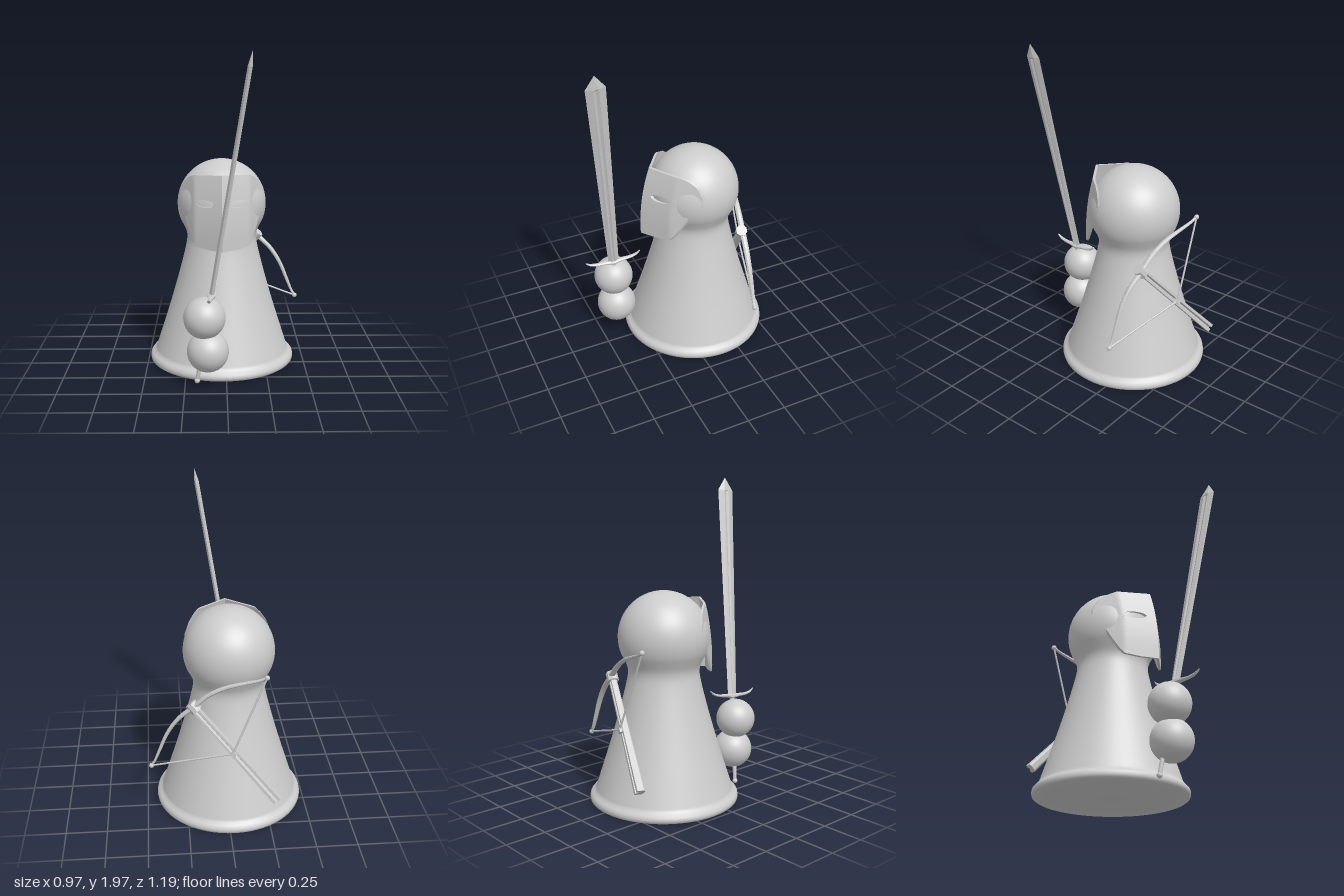
import * as THREE from 'three';
import { toCreasedNormals } from 'three/addons/utils/BufferGeometryUtils.js';

const grey = new THREE.MeshStandardMaterial({ color: 0xcccccc });
grey.name = 'light grey';

function add(parent, name, geometry, x = 0, y = 0, z = 0) {
  const mesh = new THREE.Mesh(geometry, grey);
  mesh.name = name;
  mesh.position.set(x, y, z);
  parent.add(mesh);
  return mesh;
}

// Skin between closed loops of points; either capped at the ends or wrapped into a ring
function skin(loops, wrap = false, crease = 0.6) {
  const n = loops[0].length, m = loops.length, idx = [];
  const pos = loops.flat();
  for (let r = 0; r < (wrap ? m : m - 1); r++) {
    for (let i = 0; i < n; i++) {
      const a = r * n + i, b = r * n + (i + 1) % n;
      const c = ((r + 1) % m) * n + i, d = ((r + 1) % m) * n + (i + 1) % n;
      idx.push(a, c, d, a, d, b);
    }
  }
  if (!wrap) {
    const e = (m - 1) * n;
    for (let i = 1; i < n - 1; i++) idx.push(0, i, i + 1, e, e + i + 1, e + i);
  }
  // Turn the faces outward if the enclosed volume is negative
  const v = pos.map(p => new THREE.Vector3(...p));
  let volume = 0;
  for (let i = 0; i < idx.length; i += 3) {
    volume += v[idx[i]].dot(v[idx[i + 1]].clone().cross(v[idx[i + 2]]));
  }
  if (volume < 0) idx.reverse();
  const g = new THREE.BufferGeometry();
  g.setAttribute('position', new THREE.Float32BufferAttribute(pos.flat(), 3));
  g.setIndex(idx);
  return toCreasedNormals(g, crease);
}

// Tapered bar along a smoothed path; each station is [along, rise, halfRise, halfSide]
function bar(stations, place, sides = 8) {
  const path = new THREE.CatmullRomCurve3(stations.map(s => new THREE.Vector3(s[0], s[1], 0)));
  const size = new THREE.CatmullRomCurve3(stations.map(s => new THREE.Vector3(s[2], s[3], 0)));
  const loops = [];
  for (let k = 0; k <= 32; k++) {
    const p = path.getPoint(k / 32), h = size.getPoint(k / 32);
    const t = path.getTangent(k / 32);
    loops.push(Array.from({ length: sides }, (_, i) => {
      const a = (i + 0.5) / sides * Math.PI * 2, c = Math.cos(a) * h.x;
      return place(p.x - t.y * c, p.y + t.x * c, Math.sin(a) * h.y);
    }));
  }
  return skin(loops);
}

function mirrored(half) {
  const other = half.slice(1).reverse().map(s => [-s[0], ...s.slice(1)]);
  return [...other, ...half];
}

function orient(group, xAxis, yAxis, zAxis, origin) {
  const m = new THREE.Matrix4().makeBasis(xAxis, yAxis, zAxis);
  group.quaternion.setFromRotationMatrix(m);
  group.position.set(...origin);
}

// Pawn body with a rolled foot and a ball head
function makeBody() {
  const flank = new THREE.SplineCurve([
    [0.43, 0.072], [0.388, 0.2], [0.325, 0.4], [0.268, 0.6], [0.226, 0.77], [0.221, 0.84], [0.238, 0.89],
  ].map(p => new THREE.Vector2(...p))).getPoints(28);
  const foot = [[0, 0.01], [0.45, 0.01], [0.46, 0.017], [0.463, 0.032], [0.46, 0.048], [0.448, 0.062]];
  const profile = foot.map(p => new THREE.Vector2(...p)).concat(flank);
  const start = Math.asin((0.925 - 1.035) / 0.28);
  for (let i = 0; i <= 24; i++) {
    const a = start + (Math.PI / 2 - start) * i / 24;
    profile.push(new THREE.Vector2(i === 24 ? 0 : 0.28 * Math.cos(a), 1.035 + 0.28 * Math.sin(a)));
  }
  return toCreasedNormals(new THREE.LatheGeometry(profile, 64), 0.8);
}

// One half of the mask: rings spreading from the eye hole to the outline, bent by a depth rule
function makeMaskHalf(side) {
  const corners = [
    [0, 0.795], [0.09, 0.797], [0.168, 0.808], [0.186, 0.84], [0.207, 0.9], [0.232, 0.98], [0.245, 1.0],
    [0.262, 1.02], [0.27, 1.06], [0.263, 1.12], [0.236, 1.185], [0.205, 1.22], [0.175, 1.238], [0.09, 1.243], [0, 1.25],
  ];
  const outline = [];
  corners.forEach((p, i) => {
    const q = corners[(i + 1) % corners.length];
    const steps = Math.max(2, Math.ceil(Math.hypot(q[0] - p[0], q[1] - p[1]) / 0.03));
    for (let k = 0; k < steps; k++) {
      outline.push([p[0] + (q[0] - p[0]) * k / steps, p[1] + (q[1] - p[1]) * k / steps]);
    }
  });
  const depth = (x, y) => 0.238 - 0.063 * (Math.max(0, y - 0.87) / 0.38) ** 2
    - 0.7 * x - 0.9 * Math.max(0, x - 0.17);
  const ex = 0.104, ey = 1.075;
  const ring = (t, back) => outline.map(([x, y]) => {
    const a = Math.atan2((y - ey) / 0.4, x - ex);
    const px = THREE.MathUtils.lerp(ex + 0.058 * Math.cos(a), x, t);
    const py = THREE.MathUtils.lerp(ey + 0.022 * Math.sin(a), y, t);
    return [side * px, py, depth(px, py) - back];
  });
  const front = [], rear = [];
  for (let k = 0; k <= 10; k++) {
    front.push(ring(k / 10, 0));
    rear.unshift(ring(k / 10, 0.018));
  }
  return skin([...front, ...rear], true, 0.5);
}

function makeSword() {
  const sword = new THREE.Group();
  sword.name = 'sword';
  const yAxis = new THREE.Vector3(0.227, 1.41, 0.138).normalize();
  const xAxis = yAxis.clone().cross(new THREE.Vector3(-0.043, -0.025, 0.35)).normalize();
  orient(sword, xAxis, yAxis, xAxis.clone().cross(yAxis), [-0.09, 0.575, 0.405]);
  // Blade with a central fuller: [height, half width, half thickness, fuller depth]
  const blade = [
    [0, 0.034, 0.014, 0.45], [1.34, 0.058, 0.013, 0.45], [1.352, 0.058, 0.013, 1], [1.433, 0.001, 0.001, 1],
  ].map(([y, w, t, f]) => [
    [0, y, w], [t, y, 0.3 * w], [t * f, y, 0], [t, y, -0.3 * w],
    [0, y, -w], [-t, y, -0.3 * w], [-t * f, y, 0], [-t, y, 0.3 * w],
  ]);
  add(sword, 'blade', skin(blade, false, 0.2));
  const guard = mirrored([
    [0, 0.004, 0.016, 0.024], [0.05, 0.008, 0.012, 0.016], [0.11, 0.012, 0.009, 0.012],
    [0.15, 0.024, 0.007, 0.01], [0.178, 0.046, 0.002, 0.004],
  ]);
  add(sword, 'crossguard', bar(guard, (u, v, w) => [w, v, u]));
  add(sword, 'grip', new THREE.CylinderGeometry(0.015, 0.012, 0.54, 12), 0, -0.27, 0);
  add(sword, 'pommel', new THREE.SphereGeometry(0.017, 12, 8), 0, -0.553, 0);
  return sword;
}

function makeCrossbow() {
  const bow = new THREE.Group();
  bow.name = 'crossbow';
  const yAxis = new THREE.Vector3(0.49, 0.56, 0.185).normalize();
  const zAxis = new THREE.Vector3(-0.695, 0.645, -0.135).cross(yAxis).normalize();
  orient(bow, yAxis.clone().cross(zAxis), yAxis, zAxis, [0.2, 0.77, -0.355]);
  // Stock with a bolt groove along its top
  const stock = [[-0.765, 0.027], [-0.4, 0.023], [0.02, 0.02]].map(([y, h]) => [
    [0, y, 0.008], [0.008, y, h], [h, y, h], [h, y, -0.6 * h], [0.6 * h, y, -h],
    [-0.6 * h, y, -h], [-h, y, -0.6 * h], [-h, y, h], [-0.008, y, h],
  ]);
  add(bow, 'stock', skin(stock, false, 0.3));
  const block = new THREE.CylinderGeometry(0.036, 0.036, 0.06, 8);
  block.rotateY(Math.PI / 8);
  add(bow, 'headBlock', toCreasedNormals(block, 0.3), 0, 0.005, 0);
  const limbs = mirrored([
    [0, 0.006, 0.015, 0.02], [0.12, 0.008, 0.013, 0.019], [0.24, -0.02, 0.012, 0.017],
    [0.36, -0.075, 0.01, 0.014], [0.44, -0.112, 0.008, 0.011], [0.485, -0.122, 0.008, 0.01],
  ]);
  add(bow, 'limbs', bar(limbs, (u, v, w) => [u, v, w + 0.008]));
  const nock = new THREE.Vector3(0, -0.36, 0.033);
  for (const s of [-1, 1]) {
    const tip = new THREE.Vector3(s * 0.475, -0.122, 0.009);
    add(bow, 'limbTip', new THREE.SphereGeometry(0.016, 10, 8), tip.x, tip.y, tip.z);
    add(bow, 'string', new THREE.TubeGeometry(new THREE.LineCurve3(tip, nock), 1, 0.006, 8));
  }
  add(bow, 'stringCatch', new THREE.BoxGeometry(0.03, 0.03, 0.03), 0, -0.365, 0.026);
  return bow;
}

export function createModel() {
  const model = new THREE.Group();
  model.name = 'pawnWarrior';
  add(model, 'body', makeBody(), -0.025, 0, -0.13);

  const mask = new THREE.Group();
  mask.name = 'mask';
  mask.position.x = -0.025;
  add(mask, 'maskLeft', makeMaskHalf(1));
  add(mask, 'maskRight', makeMaskHalf(-1));
  model.add(mask);

  // Two ball hands stacked on the grip
  add(model, 'upperHand', new THREE.SphereGeometry(0.125, 32, 20), -0.132, 0.44, 0.395);
  add(model, 'lowerHand', new THREE.SphereGeometry(0.125, 32, 20), -0.112, 0.232, 0.39);

  model.add(makeSword(), makeCrossbow());
  return model;
}
